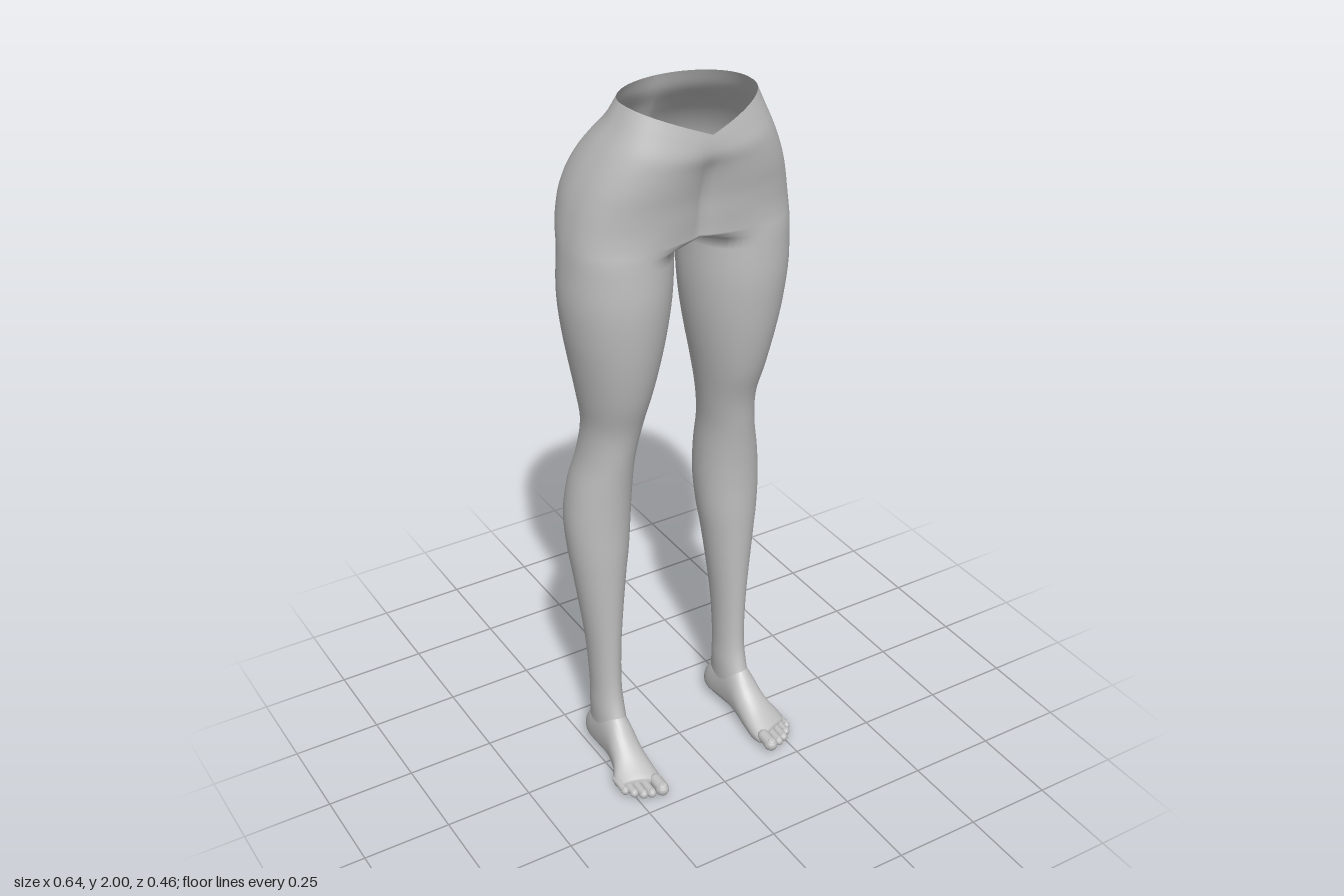
import * as THREE from 'three';
import { mergeVertices, mergeGeometries } from 'three/addons/utils/BufferGeometryUtils.js';

const OUTER = 36, INNER = 12, THIGH_ANGLE = 2.25;

// Pelvis sections: y, outer x, centre x, virtual inner x, front z, back z, centre z, front dip
const PELVIS = [
  [2.00, .178, 0, -.178, .153, -.095, .03, .072],
  [1.95, .203, .03, -.16, .156, -.113, .02, .052],
  [1.90, .231, .065, -.115, .157, -.15, 0, .032],
  [1.85, .256, .09, -.085, .15, -.187, -.015, .014],
  [1.80, .277, .104, -.07, .142, -.214, -.025, .004],
  [1.75, .293, .111, -.066, .133, -.23, -.03, 0],
  [1.70, .304, .118, -.07, .127, -.231, -.03, 0],
  [1.665, .310, .135, -.08, .124, -.215, -.03, 0],
  [1.642, .313, .15, -.09, .123, -.193, -.03, 0],
];
// Leg sections, same columns, from the top of the thigh to inside the foot
const LEG = [
  [1.62, .315, .165, .03, .123, -.176, -.03, 0],
  [1.50, .320, .172, .03, .125, -.175, -.03, 0],
  [1.40, .310, .175, .04, .116, -.175, -.03, 0],
  [1.30, .292, .176, .058, .1, -.166, -.035, 0],
  [1.20, .272, .175, .08, .076, -.157, -.04, 0],
  [1.10, .255, .177, .1, .043, -.15, -.05, 0],
  [1.00, .262, .19, .114, .025, -.163, -.065, 0],
  [.90, .284, .2, .116, .012, -.188, -.08, 0],
  [.80, .296, .205, .118, .005, -.197, -.088, 0],
  [.70, .292, .207, .126, .003, -.187, -.085, 0],
  [.60, .280, .208, .14, 0, -.168, -.08, 0],
  [.40, .256, .208, .162, -.005, -.14, -.07, 0],
  [.25, .248, .208, .168, -.004, -.127, -.063, 0],
  [.17, .249, .208, .166, .012, -.127, -.06, 0],
  [.10, .247, .208, .168, .045, -.135, -.05, 0],
];
// Foot sections from heel to ball: z, centre x, half width, sole y, top y
const FOOT = [
  [-.151, .205, .012, .035, .062],
  [-.142, .205, .03, .017, .09],
  [-.11, .206, .041, .01, .125],
  [-.06, .208, .043, .01, .165],
  [-.02, .209, .043, .013, .175],
  [.02, .21, .044, .015, .155],
  [.06, .213, .048, .012, .112],
  [.10, .218, .056, .004, .082],
  [.13, .222, .061, 0, .065],
  [.155, .224, .059, .004, .053],
  [.17, .224, .054, .012, .045],
];

// Smooth interpolation of a section table
function refine(table, steps) {
  const n = table[0].length;
  const curve = new THREE.CubicInterpolant(table.map((_, i) => i), table.flat(), n, new Array(n));
  const count = (table.length - 1) * steps;
  return Array.from({ length: count + 1 }, (_, i) => Array.from(curve.evaluate(i / steps)));
}

// Triangles between successive rows of points
function skin(rows, out) {
  for (let i = 0; i + 1 < rows.length; i++) {
    for (let j = 0; j + 1 < rows[i].length; j++) {
      const a = rows[i][j], b = rows[i][j + 1], c = rows[i + 1][j], d = rows[i + 1][j + 1];
      out.push(a, c, b, b, c, d);
    }
  }
}

const mirrored = (tris) => {
  const m = tris.map((p) => new THREE.Vector3(-p.x, p.y, p.z));
  for (let i = 0; i < m.length; i += 3) [m[i], m[i + 1]] = [m[i + 1], m[i]];
  return m;
};

function smoothGeometry(tris) {
  const g = mergeVertices(new THREE.BufferGeometry().setFromPoints(tris), 1e-5);
  g.computeVertexNormals();
  return g;
}

function sectionPoint([y, xOut, cx, xIn, zF, zB, zc, dip], angle) {
  const c = Math.cos(angle), s = Math.sin(angle);
  let x = cx + c * (c > 0 ? xOut - cx : cx - xIn);
  if (Math.abs(x) < 1e-5) x = 0;
  // The belly is flatter than the thigh
  const power = 1 - .3 * THREE.MathUtils.smoothstep(y, 1.4, 1.8);
  const z = s < 0 ? zc + (zF - zc) * Math.pow(-s, power) : zc + (zB - zc) * s;
  const drop = s < 0 ? dip * (1 - Math.abs(x) / xOut) : 0;
  return new THREE.Vector3(x, y - drop, z);
}

// Hips and both legs in one open skin
function bodyGeometry() {
  const arc = (row, max) => Array.from({ length: OUTER + 1 },
    (_, j) => sectionPoint(row, max * (2 * j / OUTER - 1)));
  const pelvis = refine(PELVIS, 4).map((r) =>
    arc(r, Math.acos(THREE.MathUtils.clamp(-r[2] / (r[2] - r[3]), -1, 1))));
  const legRows = refine(LEG, 4);
  const leg = legRows.map((r) => arc(r, THIGH_ANGLE));
  const inner = legRows.map((r) => Array.from({ length: INNER + 1 }, (_, j) =>
    sectionPoint(r, THIGH_ANGLE + (2 * Math.PI - 2 * THIGH_ANGLE) * j / INNER)));
  // Crotch bridge on the centre plane, running from back to front
  const last = pelvis[pelvis.length - 1];
  const bridge = Array.from({ length: INNER + 1 }, (_, j) =>
    last[OUTER].clone().lerp(last[0], j / INNER));
  const tris = [];
  skin([...pelvis, ...leg], tris);
  skin([bridge, ...inner], tris);
  return smoothGeometry([...tris, ...mirrored(tris)]);
}

// Heel, arch and ball of the left foot
function footTriangles() {
  const sections = refine(FOOT, 3);
  const rows = sections.map(([z, cx, w, y0, y1]) => {
    const mid = y0 + (y1 - y0) * .4;
    return Array.from({ length: 29 }, (_, j) => {
      const t = (j % 28) / 28 * Math.PI * 2, s = Math.sin(t);
      const x = cx + w * Math.cos(t);
      const y = s > 0 ? mid - (mid - y0) * Math.pow(s, .6) : mid - (y1 - mid) * s;
      const slant = .4 * THREE.MathUtils.smoothstep(z, .06, .16);
      return new THREE.Vector3(x, y, z - (x - .21) * slant);
    });
  });
  const cap = (row) => {
    const centre = row.reduce((s, p) => s.add(p), new THREE.Vector3()).divideScalar(row.length);
    return row.map(() => centre);
  };
  const tris = [];
  skin([cap(rows[0]), ...rows, cap(rows[rows.length - 1])], tris);
  return tris;
}

// Toes, big to small: x, tip z, radius
const TOES = [[.184, .23, .018], [.215, .218, .0125], [.237, .209, .012], [.257, .191, .0115], [.274, .168, .011]];

function toeGeometry([x, tip, r], side) {
  const length = .075;
  const toe = new THREE.CapsuleGeometry(r, length - 2 * r, 6, 14);
  toe.rotateX(Math.PI / 2 + .1);
  toe.translate(0, 0, -length / 2);
  // Rounded pad under the tip and a thin nail on top
  const pad = new THREE.SphereGeometry(r * 1.08, 14, 10);
  pad.scale(1, .95, 1.1);
  pad.translate(0, -.004, -r * 1.2);
  const nail = new THREE.SphereGeometry(r * .65, 10, 8);
  nail.scale(1, .25, 1);
  nail.rotateX(.25);
  nail.translate(0, r * .85 - .002, -r * .85);
  const g = mergeGeometries([toe, pad, nail]);
  g.translate(x * side, r + .014, tip);
  return g;
}

export function createModel() {
  const model = new THREE.Group();
  const grey = new THREE.MeshStandardMaterial({ color: 0xc0c0c0, side: THREE.DoubleSide });
  grey.name = 'plainGrey';
  const add = (parent, geometry, name) => {
    const mesh = new THREE.Mesh(geometry, grey);
    mesh.name = name;
    parent.add(mesh);
  };
  add(model, bodyGeometry(), 'hipsAndLegs');
  const footTris = footTriangles();
  for (const [side, label] of [[1, 'left'], [-1, 'right']]) {
    const foot = new THREE.Group();
    foot.name = label + 'Foot';
    add(foot, smoothGeometry(side > 0 ? footTris : mirrored(footTris)), label + 'FootBody');
    TOES.forEach((t, i) => add(foot, toeGeometry(t, side), `${label}Toe${i + 1}`));
    model.add(foot);
  }
  return model;
}
